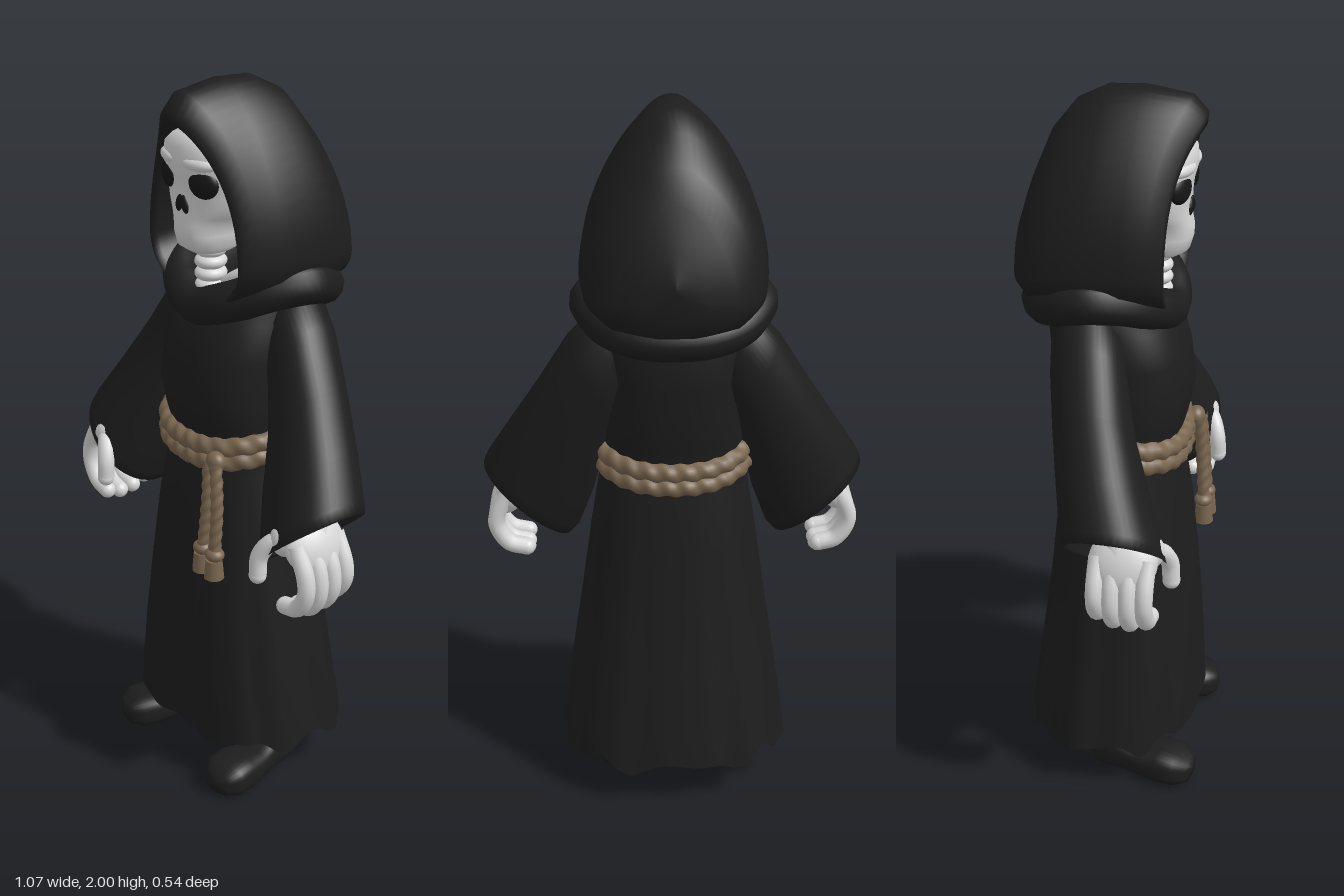
import * as THREE from 'three';

const V = (x, y, z) => new THREE.Vector3(x, y, z);
const cloth = new THREE.MeshStandardMaterial({ color: 0x1d1d1d, side: THREE.DoubleSide });
cloth.name = 'black cloth';
const bone = new THREE.MeshStandardMaterial({ color: 0xd6d6d6 });
bone.name = 'pale bone';
const hollow = new THREE.MeshStandardMaterial({ color: 0x161616 });
hollow.name = 'dark hollow';
const ropeMat = new THREE.MeshStandardMaterial({ color: 0x78654e });
ropeMat.name = 'brown rope';

const mesh = (name, geo, mat, parent) => {
  const m = new THREE.Mesh(geo, mat);
  m.name = name;
  parent.add(m);
  return m;
};

// Skin closed cross-sections; point(ring, angle, index) gives each vertex
function loft(rings, n, point) {
  const pos = [], idx = [];
  rings.forEach((r, i) => {
    for (let j = 0; j < n; j++) {
      pos.push(...point(r, (j / n) * Math.PI * 2, i).toArray());
      if (i === 0) continue;
      const k = (j + 1) % n, a = (i - 1) * n, b = i * n;
      idx.push(a + j, a + k, b + j, a + k, b + k, b + j);
    }
  });
  const g = new THREE.BufferGeometry();
  g.setAttribute('position', new THREE.Float32BufferAttribute(pos, 3));
  g.setIndex(idx);
  g.computeVertexNormals();
  return g;
}

// Rounded horizontal section: half width, front z, back z
const soft = (v, p) => Math.sign(v) * Math.abs(v) ** p;
const section = (y, w, zf, zb, a, p = 0.85) =>
  V(w * soft(Math.sin(a), p), y, (zf + zb) / 2 + ((zf - zb) / 2) * soft(Math.cos(a), p));

const tube = (pts, r, closed = false, seg = 24) =>
  new THREE.TubeGeometry(new THREE.CatmullRomCurve3(pts, closed), seg, r, 12, closed);

// Tube with spiral strands
function rope(pts, r, closed, seg, twists) {
  const g = tube(pts, r, closed, seg), p = g.attributes.position, nm = g.attributes.normal, uv = g.attributes.uv;
  for (let i = 0; i < p.count; i++) {
    const d = 0.09 * r * Math.sin(Math.PI * 2 * (2 * uv.getY(i) + twists * uv.getX(i)));
    p.setXYZ(i, p.getX(i) + nm.getX(i) * d, p.getY(i) + nm.getY(i) * d, p.getZ(i) + nm.getZ(i) * d);
  }
  g.computeVertexNormals();
  return g;
}

function ball(name, x, y, z, rx, ry, rz, mat, parent) {
  const m = mesh(name, new THREE.SphereGeometry(1, 24, 16), mat, parent);
  m.position.set(x, y, z);
  m.scale.set(rx, ry, rz);
  return m;
}

function buildRobe(g) {
  // y, half width, front z, back z
  const rings = [
    [0.15, 0.325, 0.25, -0.245], [0.22, 0.315, 0.248, -0.235], [0.4, 0.29, 0.24, -0.21],
    [0.6, 0.26, 0.225, -0.185], [0.8, 0.232, 0.205, -0.165], [0.95, 0.208, 0.18, -0.15],
    [1.02, 0.192, 0.17, -0.138], [1.09, 0.2, 0.19, -0.155], [1.17, 0.203, 0.206, -0.168],
    [1.28, 0.2, 0.195, -0.178], [1.38, 0.205, 0.165, -0.185], [1.44, 0.17, 0.11, -0.16], [1.46, 0, 0, -0.03]];
  const robe = loft(rings, 96, ([y, w, zf, zb], a, i) => {
    const fold = y < 1 ? 1 + 0.018 * (1 - y) * (Math.sin(10 * a + 0.6) + 0.5 * Math.sin(17 * a)) : 1;
    const hem = i === 0 ? 0.016 * Math.sin(8 * a + 1) + 0.01 * Math.sin(13 * a) - 0.012 * (1 - Math.cos(a)) : 0;
    return section(y + hem, w * fold, zf * fold, zb * fold, a);
  });
  mesh('robe', robe, cloth, g);
}

function buildHood(g) {
  // half width, top y, bottom y, top z, bottom z; from the lining around the rim to the back
  const rings = [
    [0, 1.7, 1.68, -0.12, -0.12], [0.12, 1.84, 1.47, -0.1, -0.1], [0.175, 1.905, 1.45, 0.04, 0.03],
    [0.18, 1.893, 1.435, 0.185, 0.14], [0.19, 1.908, 1.42, 0.226, 0.156], [0.205, 1.94, 1.415, 0.23, 0.15],
    [0.226, 1.982, 1.41, 0.19, 0.115], [0.246, 2.0, 1.4, 0.07, 0.05], [0.25, 1.995, 1.4, -0.03, -0.05],
    [0.24, 1.955, 1.4, -0.11, -0.14], [0.21, 1.88, 1.42, -0.17, -0.21], [0.155, 1.79, 1.45, -0.208, -0.248],
    [0.08, 1.69, 1.5, -0.243, -0.266], [0, 1.6, 1.58, -0.27, -0.27]];
  const hood = loft(rings, 64, ([w, yt, yb, zt, zb], a, i) => {
    const c = Math.cos(a), s = Math.sin(a), yc = yb + (yt - yb) * 0.27;
    const y = c > 0 ? yc + (yt - yc) * c : yc + (yc - yb) * c;
    const lift = ((y - yb) / (yt - yb)) ** (i < 7 ? 5 : 2);
    return V(w * s * (c > 0 ? 0.74 + 0.26 * s * s : 1), y, zb + (zt - zb) * lift);
  });
  mesh('hood', hood, cloth, g);
  const half = [[0.1, 1.435, 0.115], [0.18, 1.475, 0.05], [0.222, 1.488, -0.04], [0.18, 1.455, -0.135], [0.1, 1.435, -0.185]];
  const loop = [V(0, 1.402, 0.135), ...half.map(p => V(...p)), V(0, 1.43, -0.2),
    ...half.slice().reverse().map(([x, y, z]) => V(-x, y, z))];
  mesh('cowlCollar', tube(loop, 0.056, true, 96), cloth, g);
}

function buildSkull(g) {
  const skull = new THREE.Group();
  skull.name = 'skull';
  g.add(skull);
  const rings = [
    [1.553, 0, 0.12, 0.11], [1.556, 0.05, 0.16, 0.04], [1.575, 0.075, 0.188, 0], [1.61, 0.08, 0.198, -0.03],
    [1.64, 0.085, 0.198, -0.05], [1.662, 0.108, 0.192, -0.06], [1.69, 0.13, 0.19, -0.07], [1.72, 0.138, 0.19, -0.07],
    [1.76, 0.146, 0.194, -0.07], [1.8, 0.146, 0.205, -0.07], [1.84, 0.134, 0.202, -0.06], [1.87, 0.11, 0.185, -0.04],
    [1.893, 0.065, 0.14, -0.01], [1.9, 0, 0.06, 0.05]];
  mesh('cranium', loft(rings, 48, ([y, w, zf, zb], a) => section(y, w, zf, zb, a)), bone, skull);
  for (const s of [-1, 1]) {
    ball('eyeSocket', s * 0.073, 1.757, 0.175, 0.044, 0.039, 0.019, hollow, skull).rotation.y = s * 0.35;
    ball('browRidge', s * 0.062, 1.806, 0.176, 0.055, 0.02, 0.026, bone, skull).rotation.y = s * 0.35;
    ball('nostril', s * 0.011, 1.692, 0.188, 0.014, 0.025, 0.01, hollow, skull).rotation.z = s * 0.3;
    mesh('collarBone', tube([V(s * 0.02, 1.455, 0.08), V(s * 0.07, 1.49, 0.07), V(s * 0.13, 1.53, 0.03)], 0.016), bone, skull);
  }
  for (let i = 0; i < 4; i++) ball('neckBone', 0, 1.455 + i * 0.033, 0.1, 0.042, 0.024, 0.045, bone, skull);
}

function buildBelt(g) {
  const belt = new THREE.Group();
  belt.name = 'ropeBelt';
  g.add(belt);
  for (const dy of [-0.021, 0.021]) {
    const pts = Array.from({ length: 32 }, (_, i) => {
      const a = (i / 32) * Math.PI * 2;
      return section(1.022 + dy - 0.016 * Math.cos(2 * a), 0.2, 0.18, -0.144, a);
    });
    mesh('beltStrand', rope(pts, 0.027, true, 200, 24), ropeMat, belt);
  }
  ball('beltKnot', 0.138, 1.012, 0.192, 0.03, 0.028, 0.025, ropeMat, belt);
  for (const [x0, x1] of [[0.122, 0.116], [0.152, 0.17]]) {
    const pts = [V(x0, 1.012, 0.203), V((x0 + x1) / 2 + 0.008, 0.9, 0.212), V(x1, 0.72, 0.225)];
    mesh('hangingCord', rope(pts, 0.017, false, 60, 8), ropeMat, belt);
    ball('cordKnot', x1, 0.752, 0.222, 0.029, 0.02, 0.026, ropeMat, belt);
    const end = mesh('cordTassel', new THREE.CylinderGeometry(0.023, 0.028, 0.055, 16), ropeMat, belt);
    end.position.set(x1, 0.71, 0.224);
  }
}

// Sleeve, hand, leg and shoe of one side
function buildSide(g) {
  // outer edge x, y; inner edge x, y; centre z; half depth
  const rings = [
    [0.15, 1.46, 0.12, 1.3, -0.05, 0.05], [0.22, 1.455, 0.13, 1.22, -0.045, 0.098], [0.285, 1.385, 0.165, 1.15, -0.03, 0.104],
    [0.37, 1.245, 0.19, 1.05, -0.005, 0.11], [0.46, 1.1, 0.222, 0.91, 0.035, 0.125], [0.522, 0.997, 0.265, 0.785, 0.07, 0.138],
    [0.534, 0.968, 0.288, 0.757, 0.078, 0.138], [0.512, 0.958, 0.3, 0.775, 0.078, 0.122], [0.44, 1.06, 0.27, 0.92, 0.04, 0.09], [0.35, 1.05, 0.34, 1.04, 0.02, 0.01]];
  const sleeve = loft(rings, 48, ([ox, oy, ix, iy, z, d], a) => {
    const c = Math.cos(a) / 2;
    return V((ox + ix) / 2 + (ox - ix) * c, (oy + iy) / 2 + (oy - iy) * c, z + d * soft(Math.sin(a), 0.9));
  });
  mesh('sleeve', sleeve, cloth, g);

  const hand = new THREE.Group();
  hand.name = 'hand';
  g.add(hand);
  mesh('wrist', tube([V(0.38, 1.03, 0.05), V(0.41, 0.95, 0.08), V(0.445, 0.88, 0.11)], 0.05), bone, hand);
  ball('palm', 0.453, 0.875, 0.112, 0.046, 0.085, 0.092, bone, hand).rotation.z = 0.45;
  ball('thumbBase', 0.41, 0.888, 0.168, 0.045, 0.05, 0.045, bone, hand);
  for (let i = 0; i < 4; i++) {
    const z = 0.046 + i * 0.044, d = [0.025, 0.005, 0, 0.012][i];
    const pts = [V(0.46, 0.89, z), V(0.5, 0.815, z), V(0.503, 0.75 + d, z), V(0.47, 0.698 + d, z), V(0.42, 0.683 + d, z)];
    mesh('finger', tube(pts, 0.024), bone, hand);
    ball('fingerTip', 0.42, 0.683 + d, z, 0.024, 0.024, 0.024, bone, hand);
  }
  mesh('thumb', tube([V(0.42, 0.895, 0.17), V(0.385, 0.875, 0.2), V(0.36, 0.83, 0.218), V(0.358, 0.775, 0.222)], 0.024), bone, hand);
  ball('thumbTip', 0.358, 0.775, 0.222, 0.024, 0.024, 0.024, bone, hand);

  const leg = mesh('leg', new THREE.CylinderGeometry(0.075, 0.056, 0.42, 20), cloth, g);
  leg.position.set(0.18, 0.27, 0.025);
  // z, half width, bottom y, top y
  const foot = [
    [0.258, 0, 0.04, 0.05], [0.25, 0.045, 0.012, 0.08], [0.215, 0.07, 0, 0.1], [0.16, 0.073, 0, 0.102], [0.1, 0.06, 0.002, 0.085],
    [0.05, 0.054, 0.004, 0.1], [0, 0.056, 0, 0.12], [-0.04, 0.045, 0, 0.1], [-0.05, 0, 0.04, 0.05]];
  const shoe = mesh('shoe', loft(foot, 32, ([z, w, yb, yt], a) =>
    V(w * soft(Math.sin(a), 0.7), (yb + yt) / 2 + ((yt - yb) / 2) * soft(Math.cos(a), 0.7), z)), cloth, g);
  shoe.position.set(0.18, 0, 0.017);
  shoe.rotation.y = 0.19;
}

export function createModel() {
  const model = new THREE.Group();
  model.name = 'hoodedSkeleton';
  buildRobe(model);
  buildHood(model);
  buildSkull(model);
  buildBelt(model);
  for (const s of [1, -1]) {
    const side = new THREE.Group();
    side.name = s > 0 ? 'leftLimbs' : 'rightLimbs';
    buildSide(side);
    side.scale.x = s;
    model.add(side);
  }
  return model;
}
